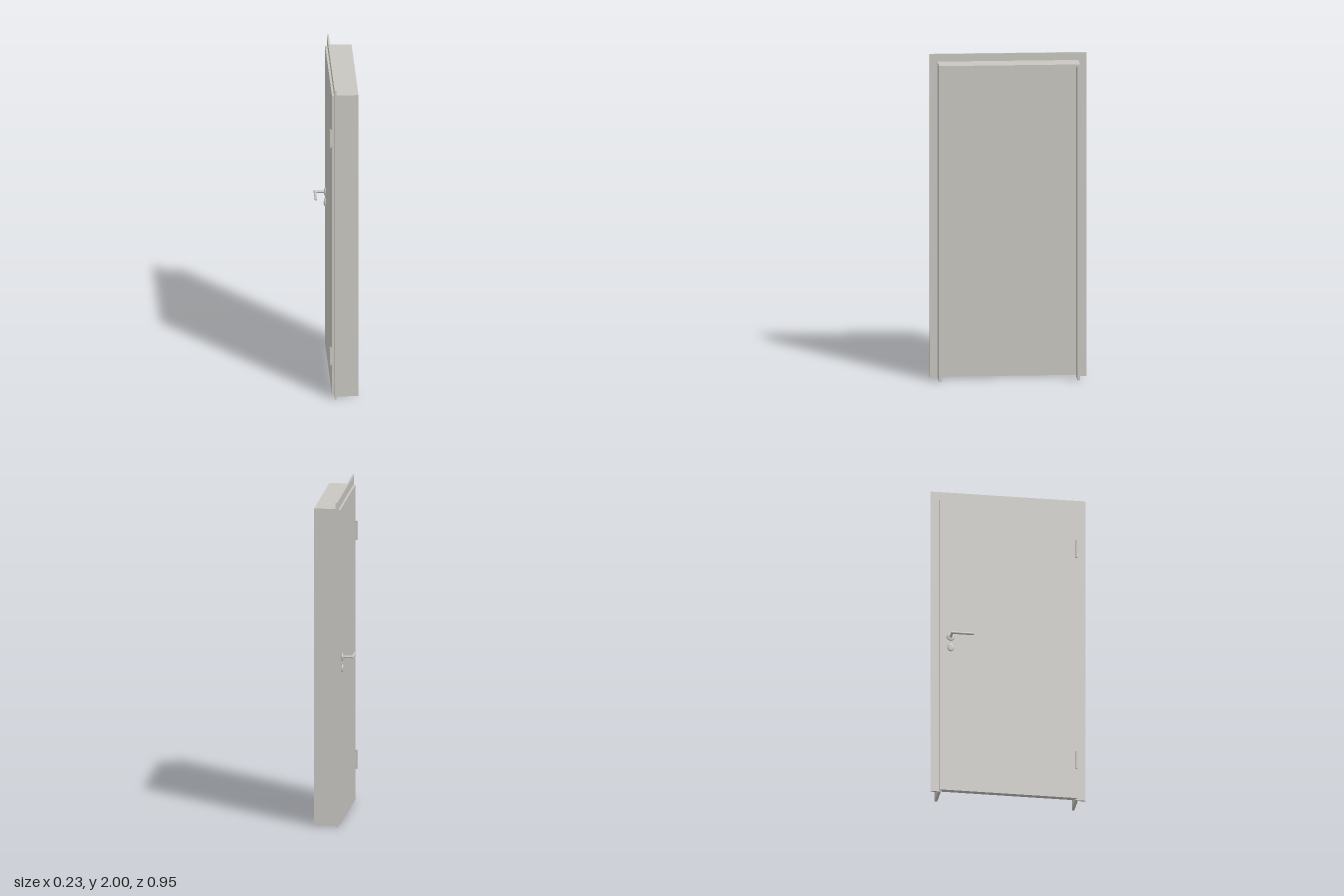
import * as THREE from 'three';

const paint = new THREE.MeshStandardMaterial({ color: 0xc8c6c0 });
paint.name = 'warm grey';

function add(group, name, geometry, x = 0, y = 0, z = 0) {
  const mesh = new THREE.Mesh(geometry, paint);
  mesh.name = name;
  mesh.position.set(x, y, z);
  group.add(mesh);
  return mesh;
}

// Box given by its limits on each axis
function slab(group, name, [x0, x1], [y0, y1], [z0, z1]) {
  return add(group, name, new THREE.BoxGeometry(x1 - x0, y1 - y0, z1 - z0),
    (x0 + x1) / 2, (y0 + y1) / 2, (z0 + z1) / 2);
}

// Three-sided portal (two jambs and a head), extruded from x0 to x1
function portal(group, name, [x0, x1], outer, top, inner, innerTop) {
  const shape = new THREE.Shape([
    [-outer, 0], [-inner, 0], [-inner, innerTop], [inner, innerTop],
    [inner, 0], [outer, 0], [outer, top], [-outer, top],
  ].map(([z, y]) => new THREE.Vector2(z, y)));
  const geometry = new THREE.ExtrudeGeometry(shape, { depth: x1 - x0, bevelEnabled: false });
  geometry.rotateY(Math.PI / 2);
  return add(group, name, geometry, x0);
}

// Rounded disc or oval plate fixed to the door, facing -x
function rose(group, name, y, z, radius, depth, squash = 1) {
  const profile = [[0, 0], [radius, 0], [radius, depth * 0.6], [radius * 0.85, depth], [0, depth]]
    .map(([r, h]) => new THREE.Vector2(r, h));
  const geometry = new THREE.LatheGeometry(profile, 32);
  geometry.rotateZ(Math.PI / 2);
  geometry.scale(1, 1, squash);
  return add(group, name, geometry, -0.044, y, z);
}

export function createModel() {
  const model = new THREE.Group();
  model.name = 'door';

  // Frame: deep lining and wide casing
  const frame = new THREE.Group();
  frame.name = 'frame';
  portal(frame, 'lining', [-0.021, 0.116], 0.428, 1.953, 0.412, 1.937);
  portal(frame, 'casing', [-0.031, -0.02], 0.475, 2, 0.412, 1.937);
  model.add(frame);

  // Rebated leaf: wide outer face lapping the casing, narrower core inside
  const leaf = new THREE.Group();
  leaf.name = 'leaf';
  slab(leaf, 'leafFace', [-0.044, -0.0312], [0.008, 1.947], [-0.422, 0.419]);
  slab(leaf, 'leafCore', [-0.032, -0.012], [0.008, 1.931], [-0.406, 0.406]);
  model.add(leaf);

  // Lever handle
  const handle = new THREE.Group();
  handle.name = 'handle';
  const y = 1.03, z = -0.354;
  rose(handle, 'handleRose', y, z, 0.025, 0.01);
  const neck = new THREE.CylinderGeometry(0.008, 0.008, 0.058, 20);
  neck.rotateZ(Math.PI / 2);
  add(handle, 'neck', neck, -0.081, y, z);
  const grip = new THREE.LatheGeometry([
    [0, 0], [0.006, 0], [0.008, 0.003], [0.008, 0.137], [0.006, 0.14], [0, 0.14],
  ].map(([r, h]) => new THREE.Vector2(r, h)), 20);
  grip.rotateX(Math.PI / 2);
  add(handle, 'grip', grip, -0.11, y, -0.362);
  model.add(handle);

  // Lock plate with profile cylinder
  const lock = new THREE.Group();
  lock.name = 'lock';
  rose(lock, 'lockRose', 0.96, z, 0.025, 0.01, 0.8);
  const barrel = new THREE.CylinderGeometry(0.008, 0.008, 0.008, 20);
  barrel.rotateZ(Math.PI / 2);
  add(lock, 'lockBarrel', barrel, -0.053, 0.964, z);
  slab(lock, 'lockTongue', [-0.057, -0.05], [0.945, 0.962], [z - 0.004, z + 0.004]);
  model.add(lock);

  // Hinges: a split knuckle with a short plate behind it
  for (const [name, low] of [['lowerHinge', 0.2], ['upperHinge', 1.61]]) {
    const hinge = new THREE.Group();
    hinge.name = name;
    for (const [part, from, to] of [['lowerKnuckle', 0, 0.057], ['upperKnuckle', 0.059, 0.116]]) {
      add(hinge, part, new THREE.CylinderGeometry(0.007, 0.007, to - from, 20),
        -0.053, low + (from + to) / 2, 0.416);
    }
    add(hinge, 'pin', new THREE.CylinderGeometry(0.005, 0.005, 0.112, 16), -0.053, low + 0.058, 0.416);
    slab(hinge, 'hingePlate', [-0.05, -0.043], [low + 0.01, low + 0.106], [0.412, 0.418]);
    model.add(hinge);
  }

  return model;
}
